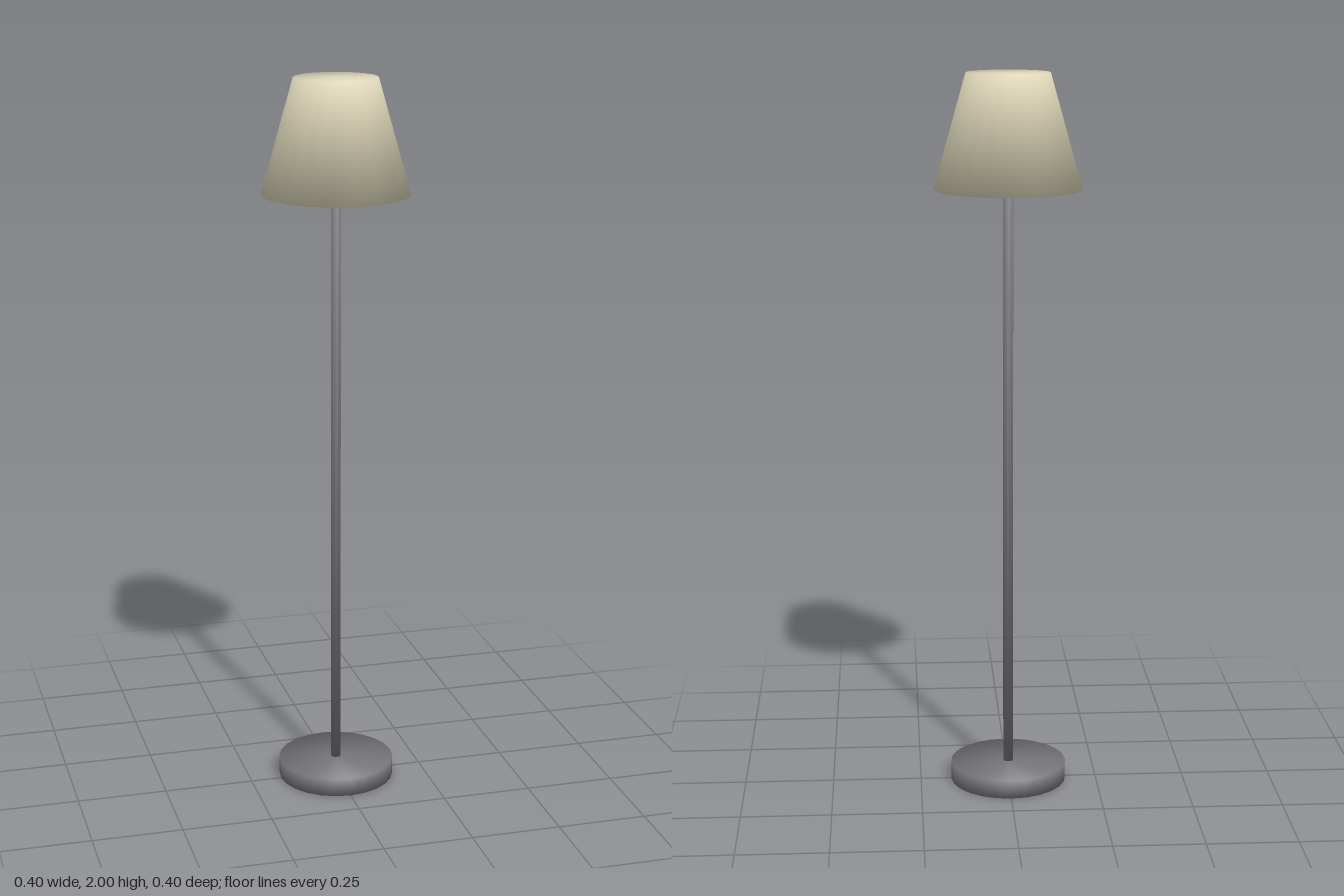
import * as THREE from 'three';
import { mergeVertices } from 'three/addons/utils/BufferGeometryUtils.js';

// Closed frustum whose smooth normals run over its rims, halfway between cap and side.
function softFrustum(rTop, rBottom, y0, y1, sides) {
  let geo = new THREE.CylinderGeometry(rTop, rBottom, y1 - y0, sides);
  geo.deleteAttribute('normal');
  geo.deleteAttribute('uv');
  geo = mergeVertices(geo);
  const pos = geo.attributes.position;
  const slope = Math.atan2(rBottom - rTop, y1 - y0);
  const normals = [];
  for (let i = 0; i < pos.count; i++) {
    const x = pos.getX(i), z = pos.getZ(i), up = Math.sign(pos.getY(i));
    const r = Math.hypot(x, z);
    if (r < 1e-5) {
      normals.push(0, up, 0);
    } else {
      const tilt = (slope + up * Math.PI / 2) / 2;
      normals.push(x / r * Math.cos(tilt), Math.sin(tilt), z / r * Math.cos(tilt));
    }
  }
  geo.setAttribute('normal', new THREE.Float32BufferAttribute(normals, 3));
  geo.translate(0, (y0 + y1) / 2, 0);
  return geo;
}

export function createModel() {
  const metal = new THREE.MeshStandardMaterial({ color: 0x77757b });
  metal.name = 'greyMetal';
  const fabric = new THREE.MeshStandardMaterial({ color: 0xddd6b8 });
  fabric.name = 'creamFabric';

  const group = new THREE.Group();
  group.name = 'floorLamp';
  const add = (name, geometry, material) => {
    const mesh = new THREE.Mesh(geometry, material);
    mesh.name = name;
    group.add(mesh);
  };

  // Round foot, slim pole reaching into the shade, and the tapered shade
  add('base', softFrustum(0.163, 0.163, 0, 0.052, 24), metal);
  add('pole', softFrustum(0.014, 0.014, 0.04, 1.75, 12), metal);
  add('shade', softFrustum(0.114, 0.202, 1.688, 2, 20), fabric);
  return group;
}
